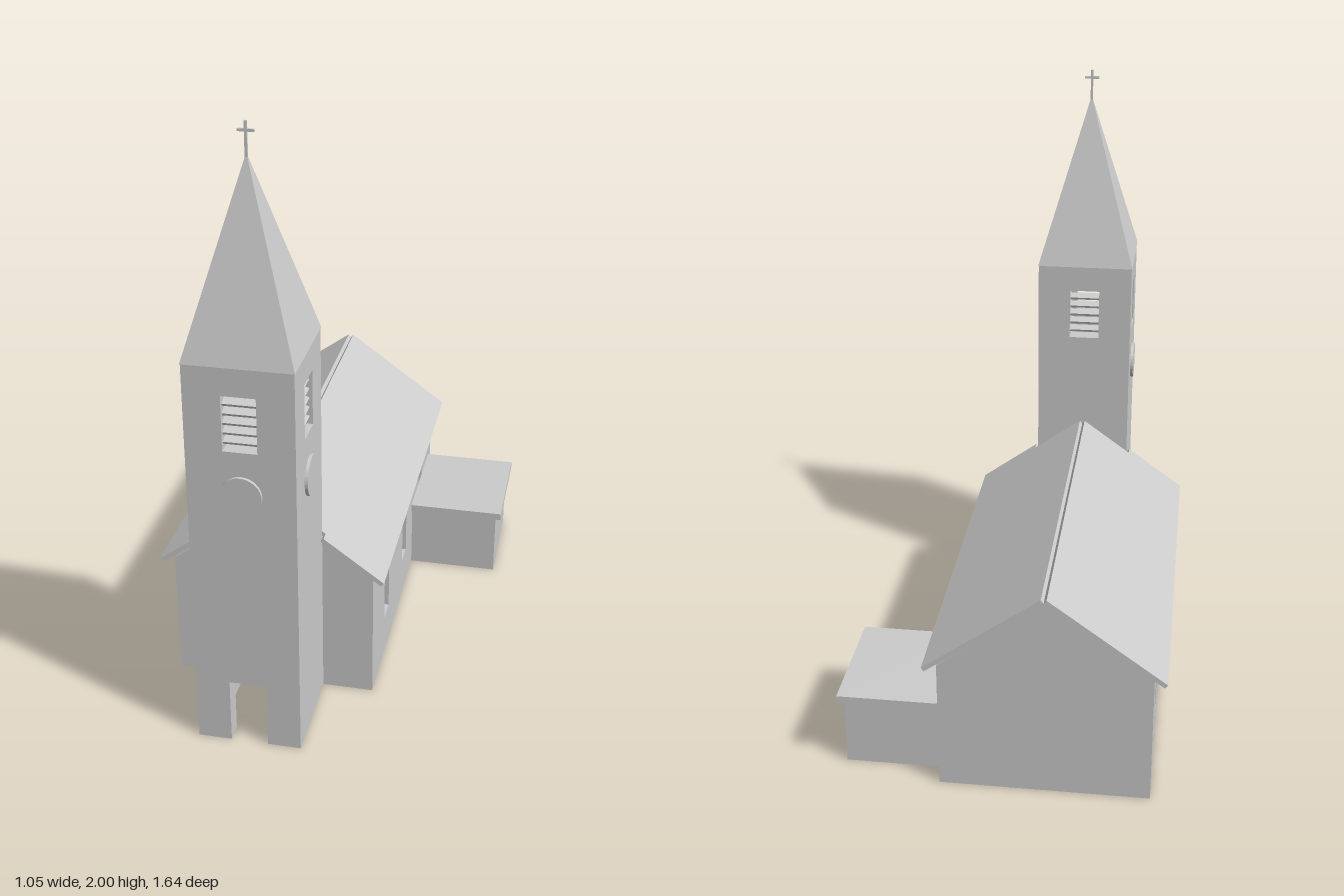
import * as THREE from 'three';

const material = new THREE.MeshStandardMaterial({ color: 0xcccccc, flatShading: true });
const T = 0.06; // wall thickness

function add(parent, name, geometry) {
  const mesh = new THREE.Mesh(geometry, material);
  mesh.name = name;
  parent.add(mesh);
  return mesh;
}

function box(parent, name, size, pos) {
  return add(parent, name, new THREE.BoxGeometry(...size).translate(...pos));
}

const poly = (pts) => new THREE.Shape(pts.map(([x, y]) => new THREE.Vector2(x, y)));

// Wall outline: optional doorway at the foot, optional gable peak
function wallShape(half, h, { door = false, peak = 0 } = {}) {
  const pts = [[-half, 0]];
  if (door) pts.push([-0.06, 0], [-0.06, 0.225], [0.06, 0.225], [0.06, 0]);
  pts.push([half, 0], [half, h]);
  if (peak) pts.push([0, peak]);
  pts.push([-half, h]);
  return poly(pts);
}

// Round-headed window outline
function archShape(x) {
  const r = 0.0425, s = new THREE.Shape();
  s.moveTo(x - r, 0.14);
  s.lineTo(x + r, 0.14);
  s.lineTo(x + r, 0.33);
  s.absarc(x, 0.33, r, 0, Math.PI, false);
  s.closePath();
  return s;
}

// Extrude a shape so its outer face lies at distance d, facing quarter turn k
function panel(parent, name, shape, depth, d, k) {
  const g = new THREE.ExtrudeGeometry(shape, { depth, bevelEnabled: false, curveSegments: 10 });
  return add(parent, name, g.translate(0, 0, d - depth).rotateY(k * Math.PI / 2));
}

function makeTower() {
  const tower = new THREE.Group();
  tower.name = 'tower';
  tower.position.set(-0.15, 0, 0.642);
  const half = 0.168, h = 1.325;
  for (let k = 0; k < 4; k++) {
    const shape = wallShape(k % 2 ? half - T : half, h, { door: k % 2 === 0 });
    shape.holes.push(poly([[-0.053, 1.055], [-0.053, 1.235], [0.053, 1.235], [0.053, 1.055]]));
    panel(tower, 'towerWall', shape, T, half, k);
    // Louvre slats
    for (let i = 0; i < 5; i++) {
      const slat = new THREE.BoxGeometry(0.106, 0.008, 0.03).rotateX(0.35);
      add(tower, 'louvreSlat', slat.translate(0, 1.083 + i * 0.031, half - 0.025).rotateY(k * Math.PI / 2));
    }
    // Clock discs on every side but the back
    if (k !== 2) {
      const disc = new THREE.CylinderGeometry(0.065, 0.065, 0.012, 32).rotateX(Math.PI / 2);
      add(tower, 'clockDisc', disc.translate(0, 0.91, half + 0.004).rotateY(k * Math.PI / 2));
    }
  }
  // Spire and cross
  const r = 0.17 * Math.SQRT2;
  add(tower, 'spire', new THREE.ConeGeometry(r, 0.585, 4).rotateY(Math.PI / 4).translate(0, h + 0.2925, 0));
  box(tower, 'crossPost', [0.008, 0.11, 0.008], [0, 1.945, 0]);
  box(tower, 'crossBar', [0.05, 0.008, 0.008], [0, 1.973, 0]);
  return tower;
}

function makeNave() {
  const nave = new THREE.Group();
  nave.name = 'nave';
  nave.position.set(-0.149, 0, -0.155);
  const hx = 0.336, hz = 0.63;
  // Gabled end walls
  panel(nave, 'frontWall', wallShape(hx, 0.44, { door: true, peak: 0.7 }), T, hz, 0);
  panel(nave, 'backWall', wallShape(hx, 0.44, { peak: 0.7 }), T, hz, 2);
  // Side walls with arched windows
  for (const k of [1, 3]) {
    const shape = wallShape(hz - T, 0.44);
    for (const x of [-0.367, 0, 0.367]) {
      shape.holes.push(archShape(x));
      panel(nave, 'windowPane', archShape(x), 0.01, hx - 0.025, k);
    }
    panel(nave, 'sideWall', shape, T, hx, k);
  }
  // Roof slopes, notched around the tower
  const a = 0.628, c = Math.cos(a), s = Math.sin(a), L = 0.368 / c, n = 0.169 / c;
  const zBack = -0.665, zTower = 0.628, zFront = 0.66;
  for (const side of [1, -1]) {
    const outline = [[0, zBack], [L, zBack], [L, zFront], [n, zFront], [n, zTower], [0, zTower]];
    const g = new THREE.ExtrudeGeometry(poly(outline.map(([u, z]) => [u, -side * z])),
      { depth: 0.015, bevelEnabled: false });
    g.applyMatrix4(new THREE.Matrix4().makeBasis(
      new THREE.Vector3(side * c, -s, 0),
      new THREE.Vector3(0, 0, -side),
      new THREE.Vector3(side * s, c, 0)));
    add(nave, 'roofSlope', g.translate(0, 0.708, 0));
  }
  return nave;
}

function makeAnnex() {
  const annex = new THREE.Group();
  annex.name = 'annex';
  annex.position.set(0.346, 0, -0.525);
  const hx = 0.159, hz = 0.185, h = 0.235;
  panel(annex, 'annexFrontWall', wallShape(hx, h), T, hz, 0);
  panel(annex, 'annexBackWall', wallShape(hx, h), T, hz, 2);
  panel(annex, 'annexSideWall', wallShape(hz - T, h), T, hx, 1);
  box(annex, 'annexRoof', [0.338, 0.025, 0.41], [0.01, h + 0.0125, 0]);
  return annex;
}

export function createModel() {
  const model = new THREE.Group();
  model.name = 'church';
  model.add(makeTower(), makeNave(), makeAnnex());
  return model;
}
